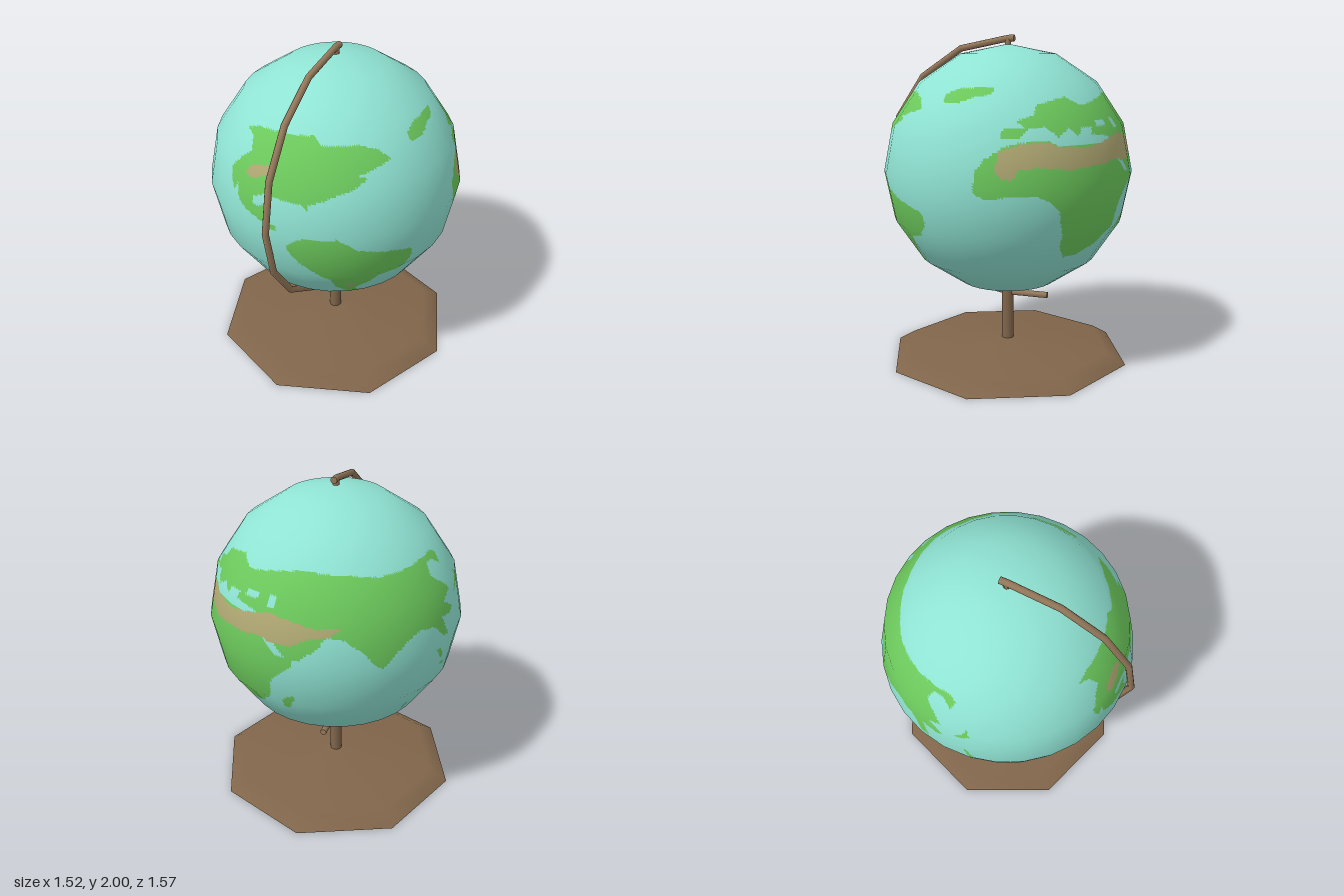
import * as THREE from 'three';

const R = 0.757, CENTRE_Y = 1.19, ARM_R = 0.79;
const SIDES = 30, BANDS = 8;

// Outlines as longitude in degrees (0 = front, 90 = left side), height
const land = {
  northAmerica: [-26, 1.66, -18, 1.69, 0, 1.7, 17, 1.71, 20.5, 1.67, 41, 1.67, 51, 1.64, 56.6, 1.585, 39.3, 1.535,
    43.7, 1.52, 35.8, 1.475, 27.8, 1.44, 22.7, 1.41, 17, 1.385, 16.4, 1.35, 13.7, 1.385, -4, 1.39, -9.5, 1.355,
    -9.4, 1.315, -5.5, 1.315, -3, 1.34, 0, 1.335, -2.3, 1.28, -1, 1.24, 4, 1.225, 2.5, 1.205, -5.4, 1.235,
    -13.6, 1.27, -18.3, 1.3, -20, 1.385, -21.7, 1.33, -24.3, 1.395, -25.2, 1.455, -20.4, 1.54, -17, 1.575, -19.6, 1.635],
  greenland: [70, 1.67, 79, 1.705, 100, 1.715, 98.5, 1.675, 89, 1.66, 81, 1.63, 72, 1.625],
  southAmerica: [7, 1.075, 7.7, 1.12, 11.4, 1.165, 16, 1.19, 29.3, 1.195, 34, 1.155, 38.4, 1.105, 50.5, 1.065,
    64.6, 1.025, 67, 0.96, 61.5, 0.875, 50.3, 0.845, 47.6, 0.785, 44.4, 0.75, 40.5, 0.705, 46, 0.615, 38, 0.655,
    29, 0.73, 25.8, 0.865, 21, 0.905, 13, 0.98],
  africa: [93, 1.21, 94, 1.285, 97.4, 1.34, 102.7, 1.385, 105.4, 1.41, 113.2, 1.43, 125.4, 1.44, 130.6, 1.405,
    143, 1.405, 155, 1.41, 161, 1.43, 162, 1.36, 172, 1.225, 180, 1.23, 180, 1.19, 176, 1.13, 168, 1.03, 167, 0.92,
    158, 0.82, 148, 0.77, 138.7, 0.76, 133, 0.84, 132.4, 0.92, 130, 1.05, 126.6, 1.1, 118.6, 1.15, 107.6, 1.145,
    98, 1.13, 93, 1.16],
  eurasia: [104, 1.45, 105, 1.5, 115, 1.505, 111, 1.54, 120, 1.57, 122, 1.62, 130, 1.64, 140, 1.66, 149, 1.61,
    165, 1.64, 180, 1.665, 205, 1.65, 220, 1.63, 235, 1.635, 250, 1.65, 262, 1.66, 266, 1.63, 264, 1.58, 259, 1.62,
    253, 1.62, 251, 1.56, 258, 1.5, 262, 1.45, 255, 1.4, 263, 1.345, 260, 1.31, 252, 1.33, 254, 1.27, 256, 1.21,
    252, 1.22, 246, 1.3, 237, 1.32, 228.7, 1.28, 222, 1.21, 218, 1.16, 214, 1.2, 209, 1.275, 202, 1.34, 194, 1.36,
    191, 1.3, 183, 1.22, 176, 1.23, 164, 1.38, 160, 1.44, 148, 1.46, 150, 1.5, 143, 1.5, 140.5, 1.455, 136, 1.5,
    130, 1.455, 124.5, 1.51, 116.5, 1.5, 113, 1.455],
  madagascar: [172, 0.84, 175, 0.84, 180, 0.95, 178, 0.96, 173, 0.91],
  australia: [266, 0.69, 268, 0.76, 276, 0.83, 281, 0.88, 284, 0.89, 287, 0.94, 291, 0.87, 296, 0.79, 293, 0.71,
    285, 0.67, 277, 0.72],
  newGuinea: [284, 1.06, 290, 1.045, 301, 0.98, 297, 0.985, 290, 1.0, 284, 1.02],
  japan: [268, 1.38, 272, 1.4, 276, 1.45, 274, 1.5, 272, 1.44],
  sumatra: [247, 1.15, 250, 1.15, 255, 1.07, 253, 1.06],
  java: [254, 1.02, 260, 1.0, 260, 0.985, 254, 1.0],
  borneo: [262, 1.09, 266, 1.13, 268, 1.11, 265, 1.06],
  celebes: [274, 1.09, 277, 1.09, 276, 1.04, 274, 1.05],
  philippines: [273, 1.27, 275, 1.27, 278, 1.2, 276, 1.19],
};
const inlandSeas = {
  innerSea: [153, 1.5, 160, 1.5, 161, 1.525, 154, 1.53],
  eastSea: [167, 1.48, 170, 1.48, 170, 1.535, 167, 1.535],
};
const sand = {
  westernDesert: [-15.3, 1.475, -13.7, 1.515, -8.2, 1.535, -1, 1.54, -1, 1.515, -7, 1.48, -12.3, 1.455],
  southernDesert: [34, 0.75, 36, 0.735, 40, 0.755, 40.5, 0.78, 36, 0.78],
  greatDesert: [102, 1.285, 103.5, 1.385, 113.5, 1.425, 125.5, 1.43, 131, 1.4, 146.5, 1.395, 158, 1.42, 168, 1.45,
    178, 1.43, 190, 1.4, 201, 1.41, 196.6, 1.365, 186, 1.34, 179.6, 1.295, 170, 1.29, 164.6, 1.31, 150, 1.29,
    134.5, 1.28, 121.5, 1.3, 112, 1.29, 109, 1.235, 104, 1.245],
  outback: [269, 0.76, 276, 0.82, 284, 0.85, 291, 0.83, 294, 0.77, 286, 0.74, 276, 0.77],
};

function inside(p, x, y) {
  let hit = false;
  for (let i = 0, j = p.length - 2; i < p.length; j = i, i += 2) {
    if ((p[i + 1] > y) !== (p[j + 1] > y) &&
      x < ((p[j] - p[i]) * (y - p[i + 1])) / (p[j + 1] - p[i + 1]) + p[i]) hit = !hit;
  }
  return hit;
}
const inAny = (set, x, y) => Object.values(set).some((p) => inside(p, x, y));

// Point on the coarse faceted ball at map position u, v
function ballPoint(u, v) {
  const lerpCorners = (t, n, f) => {
    const k = Math.min(Math.floor(t * n + 1e-6), n - 1);
    return THREE.MathUtils.lerp(f(k / n), f((k + 1) / n), t * n - k);
  };
  const ring = lerpCorners(1 - v, BANDS, (t) => Math.sin(t * Math.PI));
  return new THREE.Vector3(
    R * ring * lerpCorners(u, SIDES, (t) => Math.sin(t * 2 * Math.PI)),
    R * lerpCorners(1 - v, BANDS, (t) => Math.cos(t * Math.PI)),
    R * ring * lerpCorners(u, SIDES, (t) => Math.cos(t * 2 * Math.PI)));
}

// Finely cut ball whose faces are sorted into sea, land and sand
function globeGeometry() {
  const geo = new THREE.SphereGeometry(R, SIDES * 10, BANDS * 20);
  const { position, normal, uv } = geo.attributes;
  for (let i = 0; i < position.count; i++) {
    const p = ballPoint(THREE.MathUtils.clamp(uv.getX(i), 0, 1), uv.getY(i));
    position.setXYZ(i, p.x, p.y, p.z);
    p.normalize();
    normal.setXYZ(i, p.x, p.y, p.z);
  }
  const faces = [[], [], []];
  const index = geo.index.array;
  for (let i = 0; i < index.length; i += 3) {
    const tri = [index[i], index[i + 1], index[i + 2]];
    const mean = (f) => (f(tri[0]) + f(tri[1]) + f(tri[2])) / 3;
    let lon = 360 * mean((k) => uv.getX(k));
    if (lon > 325) lon -= 360;
    const y = CENTRE_Y + mean((k) => position.getY(k));
    let kind = 0;
    if (inAny(sand, lon, y)) kind = 2;
    else if (inAny(land, lon, y) && !inAny(inlandSeas, lon, y)) kind = 1;
    faces[kind].push(...tri);
  }
  geo.setIndex(faces.flat());
  geo.clearGroups();
  let start = 0;
  faces.forEach((f, k) => {
    geo.addGroup(start, f.length, k);
    start += f.length;
  });
  return geo;
}

export function createModel() {
  const mat = (name, color, side = THREE.FrontSide) => {
    const m = new THREE.MeshStandardMaterial({ color, side });
    m.name = name;
    return m;
  };
  const sea = mat('sea', 0x8fe3d3);
  const green = mat('land', 0x6cc95c);
  const desert = mat('sand', 0xb0a873);
  const darkWood = mat('darkWood', 0x80654a, THREE.DoubleSide);
  const lightWood = mat('lightWood', 0x94785a);

  const model = new THREE.Group();
  model.name = 'deskGlobe';
  const add = (name, geo, material, y = 0, z = 0) => {
    const mesh = new THREE.Mesh(geo, material);
    mesh.name = name;
    mesh.position.set(0, y, z - 0.0275);
    model.add(mesh);
  };

  add('globe', globeGeometry(), [sea, green, desert], CENTRE_Y);

  // Hollow eight-sided foot and its post
  const profile = [[0.76, 0], [0.65, 0.065], [0.001, 0.103]].map(([x, y]) => new THREE.Vector2(x, y));
  add('base', new THREE.LatheGeometry(profile, 8), darkWood);
  add('post', new THREE.CylinderGeometry(0.037, 0.037, 0.345, 16), darkWood, 0.2625);

  // Half-ring arm with a straight bar at each end
  const ring = new THREE.TorusGeometry(ARM_R, 0.02, 10, 8, Math.PI);
  ring.rotateZ(-Math.PI / 2).rotateY(-Math.PI / 2);
  add('arm', ring, lightWood, CENTRE_Y);
  const bar = (length) => new THREE.CylinderGeometry(0.02, 0.02, length, 10).rotateX(Math.PI / 2);
  add('armTopEnd', bar(0.04), lightWood, CENTRE_Y + ARM_R, -0.02);
  add('armBottomEnd', bar(0.26), lightWood, CENTRE_Y - ARM_R, -0.13);
  add('topPin', new THREE.CylinderGeometry(0.02, 0.02, 0.05, 10), lightWood, 1.955);
  return model;
}
